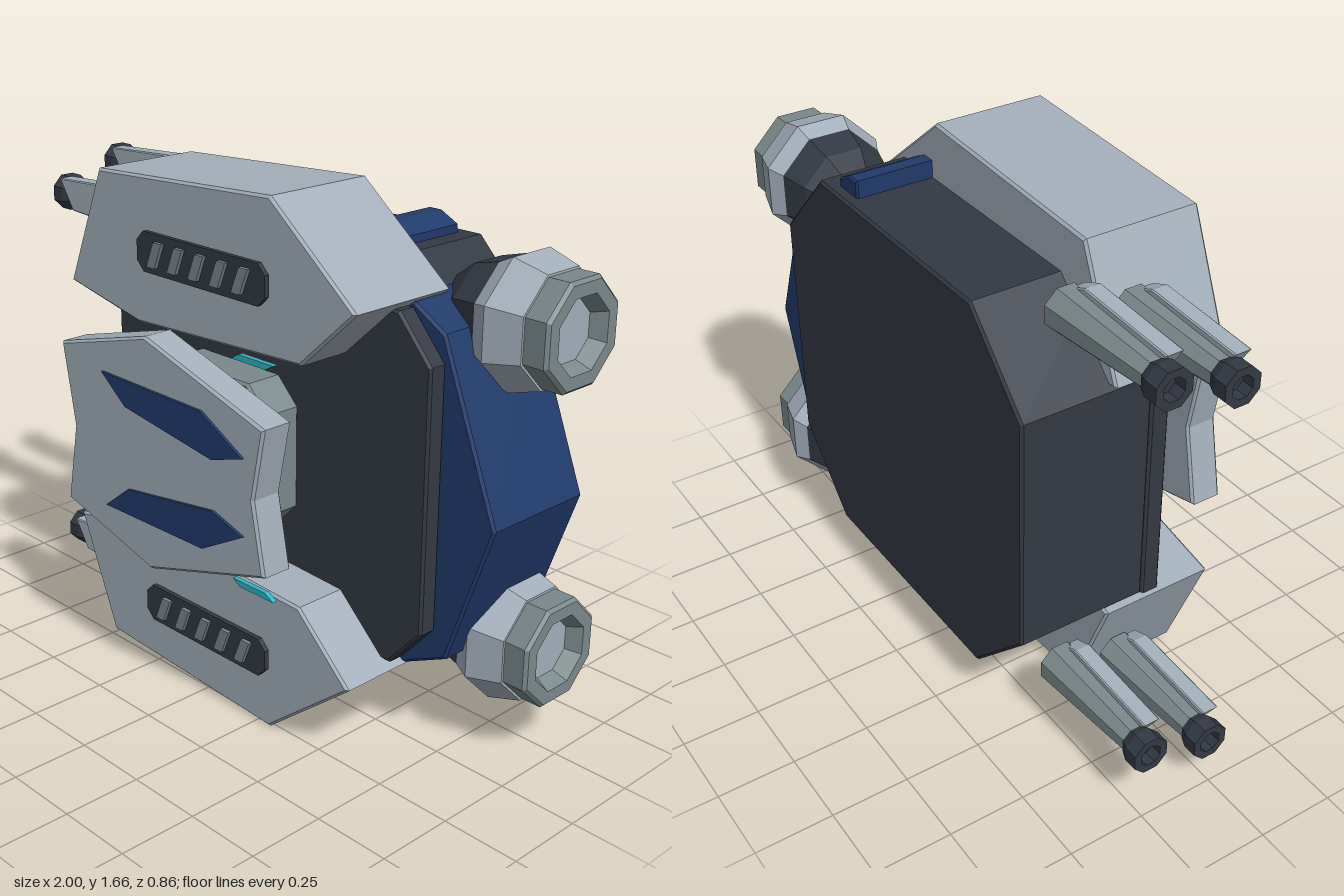
import * as THREE from 'three';

const MID = 0.83; // height of the mirror plane
const mat = (name, color) => {
  const m = new THREE.MeshStandardMaterial({ color });
  m.name = name;
  return m;
};

export function createModel() {
  const root = new THREE.Group();
  root.name = 'dropPod';
  const light = mat('light grey armour', 0xa3afbb);
  const grey = mat('mid grey metal', 0x7a898c);
  const dark = mat('charcoal hull', 0x333944);
  const blue = mat('navy trim', 0x203b6b);
  const cyan = mat('cyan glow', 0x30b6c4);

  const add = (name, geo, material, parent = root) => {
    const mesh = new THREE.Mesh(geo, material);
    mesh.name = name;
    parent.add(mesh);
    return mesh;
  };

  // Polygon slab between two z depths, with a small chamfer
  const slab = (name, pts, z0, z1, material, bevel = 0.008, parent = root) => {
    const shape = new THREE.Shape(pts.map(([x, y]) => new THREE.Vector2(x, y)));
    const geo = new THREE.ExtrudeGeometry(shape, {
      depth: z1 - z0 - 2 * bevel, bevelEnabled: bevel > 0, bevelThickness: bevel,
      bevelSize: bevel, bevelOffset: -bevel, bevelSegments: 1,
    });
    geo.translate(0, 0, z0 + bevel);
    return add(name, geo, material, parent);
  };

  // Octagonal turned part along x; profile is [x, flat radius] towards +x
  const turned = (name, profile, material, parent) => {
    const pts = profile.map(([x, r]) => new THREE.Vector2(r / Math.cos(Math.PI / 8), x));
    let geo = new THREE.LatheGeometry(pts, 8, Math.PI / 8);
    geo.rotateZ(-Math.PI / 2);
    geo = geo.toNonIndexed();
    geo.computeVertexNormals();
    return add(name, geo, material, parent);
  };

  const flip = (pts) => pts.map(([x, y]) => [x, 2 * MID - y]);
  const box = (x0, x1, y0, y1, c) => [
    [x0 + c, y0], [x1 - c, y0], [x1, y0 + c], [x1, y1 - c],
    [x1 - c, y1], [x0 + c, y1], [x0, y1 - c], [x0, y0 + c],
  ];
  const mirroredOutline = (top) => [...top, ...flip(top).reverse()];

  // Hull and its front plate
  slab('hull', mirroredOutline([[-0.6, 1.22], [-0.35, 1.475], [0.5, 1.475], [0.75, 1.22]]), -0.405, 0.03, dark);
  slab('frontPlate', mirroredOutline([[-0.6, 1.235], [-0.48, 1.37], [0.63, 1.37], [0.75, 1.235]]), 0.03, 0.095, dark);

  // Pointed blue bow at the thruster end
  slab('bow', [[0.56, 1.39], [0.63, 1.38], [0.74, 1.315], [0.945, 0.795], [0.79, 0.34], [0.63, 0.265], [0.56, 0.265]],
    -0.365, 0.03, blue);

  // Stacked core behind the shield
  slab('coreBase', box(-0.26, 0.24, 0.59, 1.07, 0.08), 0.09, 0.225, grey);
  slab('coreCap', box(-0.13, 0.12, 0.68, 0.98, 0.05), 0.225, 0.29, grey);
  slab('coreLamp', box(-0.09, 0.08, 0.74, 0.92, 0.04), 0.288, 0.305, cyan, 0);

  // Floating shield
  slab('shield', [
    [-0.07, 1.205], [-0.48, 1.095], [-0.43, 0.83], [-0.48, 0.565],
    [-0.07, 0.455], [0.44, 0.605], [0.395, 0.83], [0.44, 1.055],
  ], 0.312, 0.42, light);

  const armour = [[-0.455, 1.62], [0.305, 1.66], [0.636, 1.395], [0.43, 1.203], [-0.28, 1.17], [-0.615, 1.235]];
  const stripe = [[-0.27, 1.05], [0.185, 1.045], [0.36, 0.95], [0.23, 0.91], [-0.16, 0.965]];
  const glow = [[0.19, 1.178], [0.33, 1.178], [0.365, 1.197], [0.22, 1.197]];
  const tab = [[0.33, 1.44], [0.33, 1.532], [0.375, 1.532], [0.44, 1.5], [0.44, 1.44]];

  for (const side of ['upper', 'lower']) {
    const up = side === 'upper';
    const m = up ? (p) => p : flip;
    const yOf = (y) => (up ? y : 2 * MID - y);
    const group = new THREE.Group();
    group.name = side + 'Side';
    root.add(group);

    slab('armourShell', m(armour), -0.11, 0.272, light, 0.008, group);
    slab('shieldStripe', m(stripe), 0.42, 0.429, blue, 0, group);
    slab('glowStrip', m(glow), 0.295, 0.312, cyan, 0, group);
    slab('hullTab', m(tab), -0.368, -0.1, blue, 0.006, group);

    // Vent plate with five slanted slats
    const vy = yOf(1.413);
    slab('ventPlate', box(-0.237, 0.32, vy - 0.062, vy + 0.062, 0.03), 0.287, 0.303, dark, 0, group);
    for (let i = 0; i < 5; i++) {
      const x = -0.145 + i * 0.093;
      slab('ventSlat', [[x - 0.035, vy - 0.04], [x + 0.002, vy - 0.04], [x + 0.035, vy + 0.04], [x - 0.002, vy + 0.04]],
        0.302, 0.315, grey, 0, group);
    }

    // Thruster
    const thruster = new THREE.Group();
    thruster.name = 'thruster';
    thruster.position.set(0, yOf(1.315), -0.237);
    group.add(thruster);
    turned('thrusterMount', [[0.58, 0], [0.58, 0.09], [0.66, 0.145], [0.765, 0.172]], dark, thruster);
    turned('thrusterBody', [[0.75, 0.167], [0.81, 0.195], [0.92, 0.165], [0.92, 0.14]], light, thruster);
    turned('nozzle', [[0.915, 0.158], [0.99, 0.158], [1, 0.148], [1, 0.11], [0.95, 0.087]], grey, thruster);
    turned('nozzleCore', [[0.952, 0.092], [0.952, 0]], light, thruster);

    // Pair of guns, same way up on both sides
    const drop = up ? 0 : -1.255;
    for (const [y, z] of [[1.42, -0.007], [1.495, -0.228]]) {
      const gun = new THREE.Group();
      gun.name = 'gun';
      gun.position.set(0, y + drop, z);
      group.add(gun);
      turned('muzzle', [[-0.96, 0], [-0.96, 0.033], [-1, 0.033], [-1, 0.057], [-0.955, 0.057], [-0.925, 0.045], [-0.925, 0]],
        dark, gun);
      turned('barrel', [[-0.93, 0], [-0.93, 0.042], [-0.54, 0.066], [-0.54, 0]], grey, gun);
      slab('gunGuard', [[-0.945, 0.06], [-0.88, -0.04], [-0.66, -0.05], [-0.61, 0.015], [-0.54, 0.025], [-0.54, 0.055], [-0.6, 0.08]],
        0.015, 0.07, light, 0.004, gun);
    }
  }
  return root;
}
